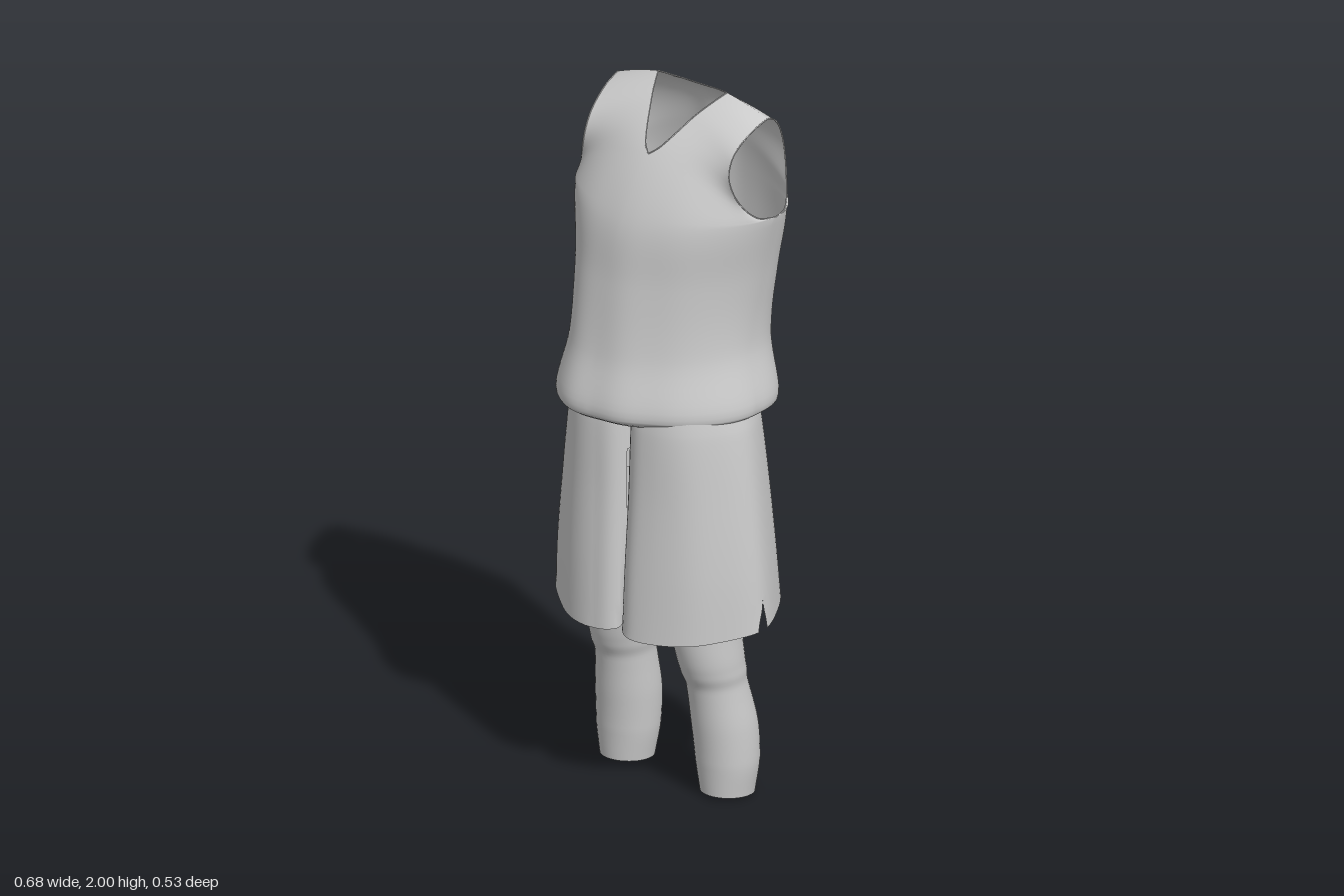
import * as THREE from 'three';
import { mergeVertices, mergeGeometries } from 'three/addons/utils/BufferGeometryUtils.js';

const material = new THREE.MeshStandardMaterial({ color: 0xcccccc, side: THREE.DoubleSide, roughness: 0.9 });
const { lerp, clamp, smoothstep } = THREE.MathUtils;
const curve = (pts) => new THREE.CatmullRomCurve3(pts.map((p) => new THREE.Vector3(...p)));

// Sheet of quads from a rule fn(u, v); keep() can leave quads out
function sheet(cols, rows, fn, flip, keep = () => true) {
  const pos = [], index = [];
  for (let j = 0; j <= rows; j++)
    for (let i = 0; i <= cols; i++) pos.push(...fn(i / cols, j / rows));
  for (let j = 0; j < rows; j++)
    for (let i = 0; i < cols; i++) {
      if (!keep((i + 0.5) / cols, (j + 0.5) / rows)) continue;
      const a = j * (cols + 1) + i, b = a + 1, c = b + cols + 1, d = a + cols + 1;
      index.push(...(flip ? [a, c, b, a, d, c] : [a, b, c, a, c, d]));
    }
  const g = new THREE.BufferGeometry();
  g.setAttribute('position', new THREE.Float32BufferAttribute(pos, 3));
  g.setIndex(index);
  return g;
}

function smoothMesh(name, geometries) {
  const g = mergeVertices(mergeGeometries(geometries), 1e-4);
  g.computeVertexNormals();
  const m = new THREE.Mesh(g, material);
  m.name = name;
  return m;
}

// Jersey panels: a centre line, a shared side seam up to the armpit, then an armhole edge
const ARMPIT = 4 / 7;
const armpit = [0.32, 1.705, -0.07], shoulder = [0.258, 1.96, -0.11];
const seam = curve([[0.262, 1.125, -0.01], [0.29, 1.145, -0.01], [0.264, 1.32, -0.03], [0.282, 1.52, -0.06], armpit]);
const panels = [
  { // front, with a V neck
    face: 1, q: 0.5, neckStart: 5 / 7, neckPower: 0.68,
    centre: curve([[0, 1.115, 0.235], [0, 1.14, 0.264], [0, 1.3, 0.228], [0, 1.5, 0.195], [0, 1.68, 0.163],
      [0, 1.85, 0.075], [0, 1.945, -0.02], [0, 2.01, -0.11]]),
    arm: curve([armpit, [0.302, 1.714, -0.015], [0.272, 1.76, 0.025], [0.25, 1.83, 0.043], [0.246, 1.89, 0.02],
      [0.253, 1.94, -0.05], shoulder]),
  },
  { // back, with a shallow round neck
    face: -1, q: 0.33, neckStart: 52 / 56, neckPower: 0.5,
    centre: curve([[0, 1.105, -0.208], [0, 1.125, -0.237], [0, 1.3, -0.235], [0, 1.5, -0.233], [0, 1.7, -0.228],
      [0, 1.84, -0.212], [0, 1.945, -0.182], [0, 2.01, -0.11]]),
    arm: curve([armpit, [0.31, 1.711, -0.12], [0.284, 1.75, -0.16], [0.26, 1.83, -0.183], [0.254, 1.9, -0.174],
      [0.256, 1.945, -0.145], shoulder]),
  },
];

function panelPoint(p, side, u, t) {
  const C = p.centre.getPoint(t);
  const E = t <= ARMPIT ? seam.getPoint(t / ARMPIT) : p.arm.getPoint((t - ARMPIT) / (1 - ARMPIT));
  const neck = t > p.neckStart ? 0.46 * ((t - p.neckStart) / (1 - p.neckStart)) ** p.neckPower : 0;
  const s = lerp(neck, 1, Math.sin(u * Math.PI / 2));
  const across = Math.max(0, 1 - s * s);
  const q = lerp(p.q, 1, smoothstep(t, 0.5, 1));
  let x = side * s * E.x, z = lerp(E.z, C.z, across ** q);
  const low = 1 - smoothstep(t, 0.1, 0.8);
  if (p.face > 0) x -= 0.07 * across * low; // hem swings a little to one side
  else z += 0.018 * Math.exp(-((x / 0.045) ** 2)) * (1 - smoothstep(t, 0.6, 0.95)); // spine fold
  // soft drape folds, fading at the seams
  z += p.face * 0.003 * Math.sin(x * 38 + t * 3) * across * low;
  return [x - 0.008 * smoothstep(t, 0.1, 0.4), lerp(C.y, E.y, s * s), z];
}

function makeJersey() {
  const group = new THREE.Group();
  group.name = 'jersey';
  const parts = [], trim = [];
  for (const p of panels)
    for (const side of [1, -1]) {
      parts.push(sheet(28, 56, (u, t) => panelPoint(p, side, u, t), side * p.face < 0));
      // thin bindings along the neckline and armhole
      for (const [u, start] of [[0, p.neckStart], [1, ARMPIT]]) {
        const pts = Array.from({ length: 13 }, (_, i) => panelPoint(p, side, u, lerp(start, 1, i / 12)));
        trim.push(new THREE.TubeGeometry(curve(pts), 30, 0.002, 6));
      }
    }
  group.add(smoothMesh('jerseyBody', parts));
  const bindings = new THREE.Mesh(mergeGeometries(trim), material);
  bindings.name = 'jerseyBindings';
  group.add(bindings);
  return group;
}

// One leg of the shorts, side seam at angle 0, inner wall at x = 0; radii are outward, front, back
const shortsCentre = curve([[0.1, 1.2, 0.017], [0.1, 1.1, 0.017], [0.097, 0.9, 0.018], [0.093, 0.7, 0.02], [0.09, 0.54, 0.02]]);
const shortsRadius = curve([[0.155, 0.175, 0.175], [0.182, 0.192, 0.193], [0.212, 0.2, 0.222], [0.238, 0.21, 0.255], [0.254, 0.218, 0.283]]);

function makeShortsLeg(side) {
  const point = (u, v) => {
    const c = shortsCentre.getPoint(v), r = shortsRadius.getPoint(v);
    const slit = 0.09 * smoothstep(v, 0.87, 1);
    const a = lerp(slit, Math.PI * 2 - slit * 0.5, u);
    const cos = Math.cos(a), sin = Math.sin(a);
    const n = cos > 0 ? lerp(1.9, 1.55, v) : 3;
    const k = (Math.abs(cos) ** n + Math.abs(sin) ** n) ** (-1 / n);
    const ripple = 1 + 0.01 * Math.sin(a * 7 + side) * smoothstep(v, 0, 0.5);
    // inner wall bows away from the middle towards the hem
    const bow = 0.07 * smoothstep(v, 0.55, 1) * Math.max(0, -cos - 0.6);
    const x = Math.max(bow, c.x + (cos > 0 ? r.x : 0.12) * k * cos * ripple);
    const depth = sin > 0 ? r.y : r.z * (side > 0 ? 1 : lerp(1, 0.87, v));
    // hem hangs lower in front and near the middle
    const drop = v ** 3 * (sin > 0 ? -0.035 * sin : -0.02 * sin);
    return [side * x, c.y + drop, c.z + depth * k * sin * ripple];
  };
  // inner wall only below the crotch
  const keep = (u, v) => v > 0.55 || Math.abs(point(u, v)[0]) > 1e-5;
  return smoothMesh(side > 0 ? 'leftShortsLeg' : 'rightShortsLeg', [sheet(72, 40, point, side < 0, keep)]);
}

// Fitted leg sleeve, open at both ends
const legCentre = curve([[0.122, 0.92, 0.02], [0.13, 0.7, 0.018], [0.137, 0.5, 0.012], [0.145, 0.4, 0], [0.15, 0.32, -0.02],
  [0.158, 0.2, -0.042], [0.163, 0.1, -0.048], [0.165, 0.005, -0.045]]);
const legRadius = curve([[0.106, 0.125, 0], [0.098, 0.116, 0], [0.088, 0.108, 0], [0.085, 0.1, 0], [0.08, 0.09, 0],
  [0.088, 0.094, 0], [0.087, 0.089, 0], [0.073, 0.077, 0]]);

function makeLeg(side) {
  const point = (u, v) => {
    const c = legCentre.getPoint(v), r = legRadius.getPoint(v), a = u * Math.PI * 2;
    // knee creases
    const crease = 1 + 0.02 * Math.exp(-(((c.y - 0.36) / 0.016) ** 2)) - 0.01 * Math.exp(-(((c.y - 0.33) / 0.016) ** 2));
    const tilt = 0.005 * Math.sin(a) * clamp((v - 0.9) * 10, 0, 1);
    return [side * (c.x + r.x * Math.cos(a) * crease), c.y + tilt, c.z + r.y * Math.sin(a) * crease];
  };
  const mesh = smoothMesh(side > 0 ? 'leftLegSleeve' : 'rightLegSleeve', [sheet(40, 64, point, side < 0)]);
  if (side < 0) mesh.position.set(-0.015, 0.015, 0);
  return mesh;
}

export function createModel() {
  const model = new THREE.Group();
  model.name = 'basketballOutfit';
  const shorts = new THREE.Group();
  shorts.name = 'shorts';
  const legs = new THREE.Group();
  legs.name = 'legSleeves';
  for (const side of [1, -1]) {
    shorts.add(makeShortsLeg(side));
    legs.add(makeLeg(side));
  }
  model.add(makeJersey(), shorts, legs);
  return model;
}
